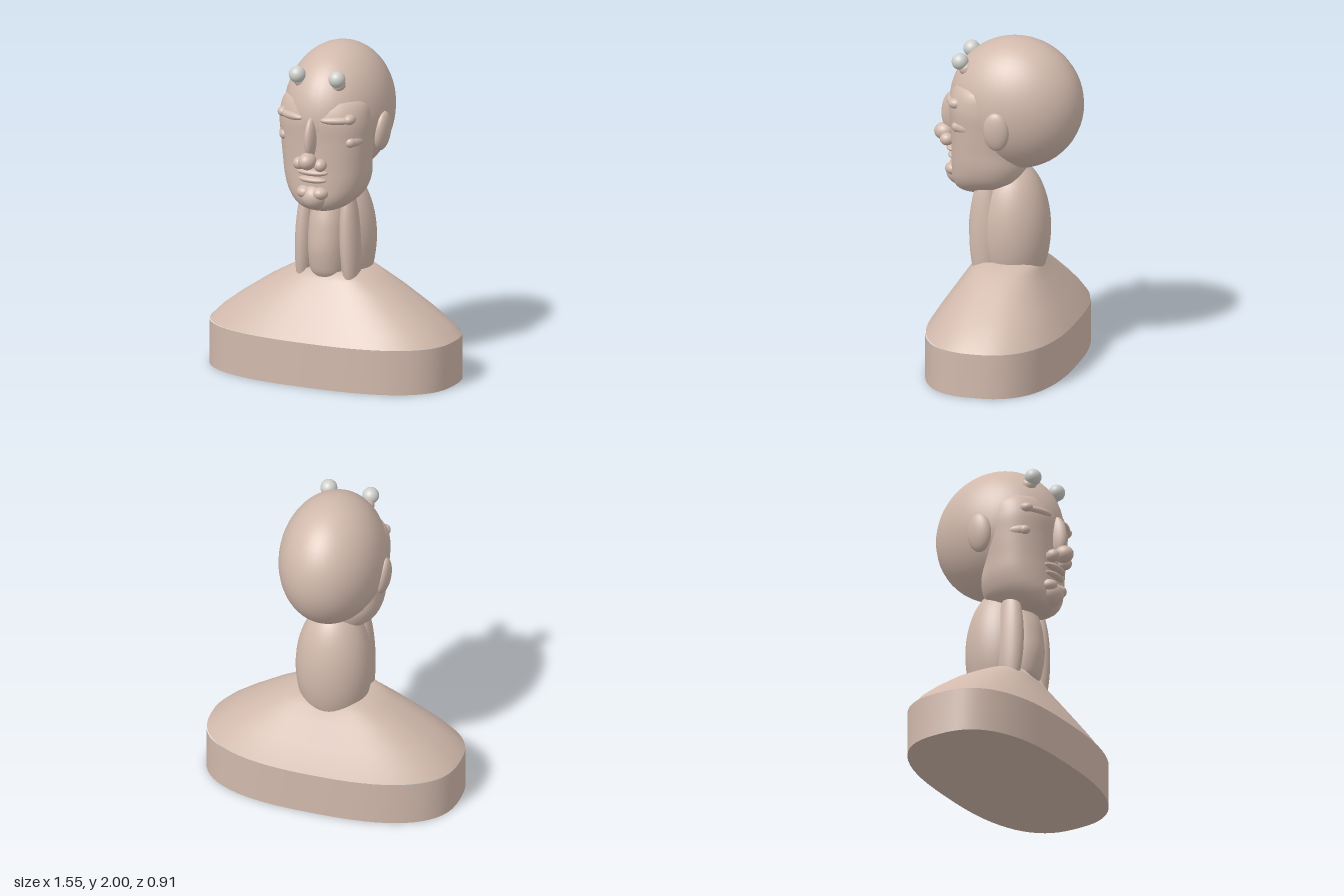
import * as THREE from 'three';

const skin = new THREE.MeshStandardMaterial({ color: 0xd1b9ac });
skin.name = 'clay';
const pearl = new THREE.MeshStandardMaterial({ color: 0xcfd0cc });
pearl.name = 'pale grey';

// Rounded cross-sections [y, half width, front z, back z] joined into a smooth skin
function loft(name, rows, power, smooth = 0, segments = 64) {
  if (smooth) {
    const pairs = [0, 1].map((k) => new THREE.CatmullRomCurve3(
      rows.map((r) => k ? new THREE.Vector3(r[2], r[3], 0) : new THREE.Vector3(r[0], r[1], 0))));
    const count = (rows.length - 1) * smooth;
    rows = Array.from({ length: count + 1 }, (_, i) => {
      const a = pairs[0].getPoint(i / count), b = pairs[1].getPoint(i / count);
      return [a.x, a.y, b.x, b.y];
    });
  }
  const positions = [], index = [];
  const bend = (v) => Math.sign(v) * Math.abs(v) ** (2 / power);
  rows.forEach(([y, rx, zf, zb], j) => {
    for (let i = 0; i < segments; i++) {
      const a = (i / segments) * Math.PI * 2;
      positions.push(rx * bend(Math.cos(a)), y, (zf + zb) / 2 + ((zf - zb) / 2) * bend(Math.sin(a)));
      if (j === rows.length - 1) continue;
      const p = j * segments + i, q = j * segments + ((i + 1) % segments);
      index.push(p, p + segments, q, q, p + segments, q + segments);
    }
  });
  const geometry = new THREE.BufferGeometry();
  geometry.setAttribute('position', new THREE.Float32BufferAttribute(positions, 3));
  geometry.setIndex(index);
  geometry.computeVertexNormals();
  const mesh = new THREE.Mesh(geometry, skin);
  mesh.name = name;
  return mesh;
}

// Ellipsoid from centre, radii and optional rotation
function blob(name, center, radii, rotation = [0, 0, 0], material = skin) {
  const mesh = new THREE.Mesh(new THREE.SphereGeometry(1, 40, 28), material);
  mesh.name = name;
  mesh.position.set(...center);
  mesh.scale.set(...radii);
  mesh.rotation.set(...rotation);
  return mesh;
}

// The same ellipsoid on both sides
function pair(name, [x, y, z], radii, [rx, ry, rz] = [0, 0, 0], material = skin) {
  const group = new THREE.Group();
  group.name = name + 's';
  for (const s of [1, -1]) {
    group.add(blob((s > 0 ? 'left ' : 'right ') + name, [s * x, y, z], radii, [rx, s * ry, s * rz], material));
  }
  return group;
}

export function createModel() {
  const model = new THREE.Group();
  model.name = 'portrait bust';

  // Plinth and sloping shoulders
  model.add(
    loft('plinth underside', [[0, 0, 0.005, 0.005], [0, 0.775, 0.43, -0.42]], 2.6),
    loft('plinth wall', [[0, 0.775, 0.43, -0.42], [0.27, 0.775, 0.43, -0.42]], 2.6),
    loft('shoulders', [
      [0.27, 0.775, 0.43, -0.42], [0.34, 0.705, 0.385, -0.38], [0.42, 0.6, 0.33, -0.33],
      [0.535, 0.43, 0.25, -0.255], [0.6, 0.315, 0.205, -0.215], [0.65, 0.22, 0.18, -0.19], [0.66, 0, 0, 0],
    ], 2.5),
  );

  // Neck with throat and side muscles
  model.add(
    blob('neck', [0, 0.82, -0.03], [0.228, 0.42, 0.22]),
    loft('throat', [
      [0.58, 0.09, 0.17, -0.05], [0.65, 0.11, 0.215, -0.05], [0.8, 0.118, 0.24, -0.05],
      [0.95, 0.115, 0.225, -0.05], [1.1, 0.1, 0.18, -0.05],
    ], 2.2, 5),
    pair('neck muscle', [0.145, 0.83, 0.11], [0.058, 0.34, 0.09], [0, 0, 0.04]),
  );

  // Cranium and lower face
  model.add(
    blob('cranium', [0, 1.6, -0.05], [0.312, 0.4, 0.402]),
    loft('face', [
      [1.03, 0, 0.19, 0.18], [1.045, 0.09, 0.27, 0.09], [1.075, 0.155, 0.315, 0.0],
      [1.14, 0.22, 0.335, -0.1], [1.23, 0.255, 0.335, -0.12], [1.35, 0.268, 0.335, -0.1],
      [1.48, 0.28, 0.34, -0.1], [1.6, 0.285, 0.348, -0.1], [1.72, 0.25, 0.31, -0.1], [1.8, 0, 0.1, 0.09],
    ], 2.25, 5),
    pair('ear', [0.3, 1.5, -0.005], [0.042, 0.12, 0.078], [0, 0, -0.1]),
  );

  // Brows, eyes and nose
  model.add(
    pair('brow', [0.15, 1.622, 0.295], [0.105, 0.027, 0.04], [0, 0.45, 0]),
    pair('brow end', [0.215, 1.628, 0.265], [0.035, 0.032, 0.045]),
    pair('eye', [0.228, 1.487, 0.215], [0.036, 0.038, 0.075], [0, -0.4, 0]),
    pair('inner eye', [0.212, 1.485, 0.25], [0.035, 0.034, 0.04]),
    blob('nose bridge', [0, 1.51, 0.345], [0.034, 0.125, 0.066], [-0.08, 0, 0]),
    blob('nose tip', [0, 1.378, 0.395], [0.052, 0.052, 0.06]),
    pair('nostril', [0.068, 1.352, 0.36], [0.038, 0.038, 0.042]),
  );

  // Mouth and chin
  model.add(
    blob('upper lip', [0, 1.297, 0.325], [0.1, 0.024, 0.048]),
    blob('lower lip', [0, 1.25, 0.32], [0.092, 0.022, 0.044]),
    blob('chin', [0, 1.14, 0.29], [0.085, 0.08, 0.09]),
    pair('chin pad', [0.05, 1.17, 0.32], [0.05, 0.04, 0.055]),
  );

  // Forehead spheres seated on small mounds
  model.add(
    pair('forehead mound', [0.12, 1.82, 0.225], [0.045, 0.045, 0.045]),
    pair('forehead sphere', [0.13, 1.862, 0.262], [0.05, 0.05, 0.05], [0, 0, 0], pearl),
  );

  return model;
}
